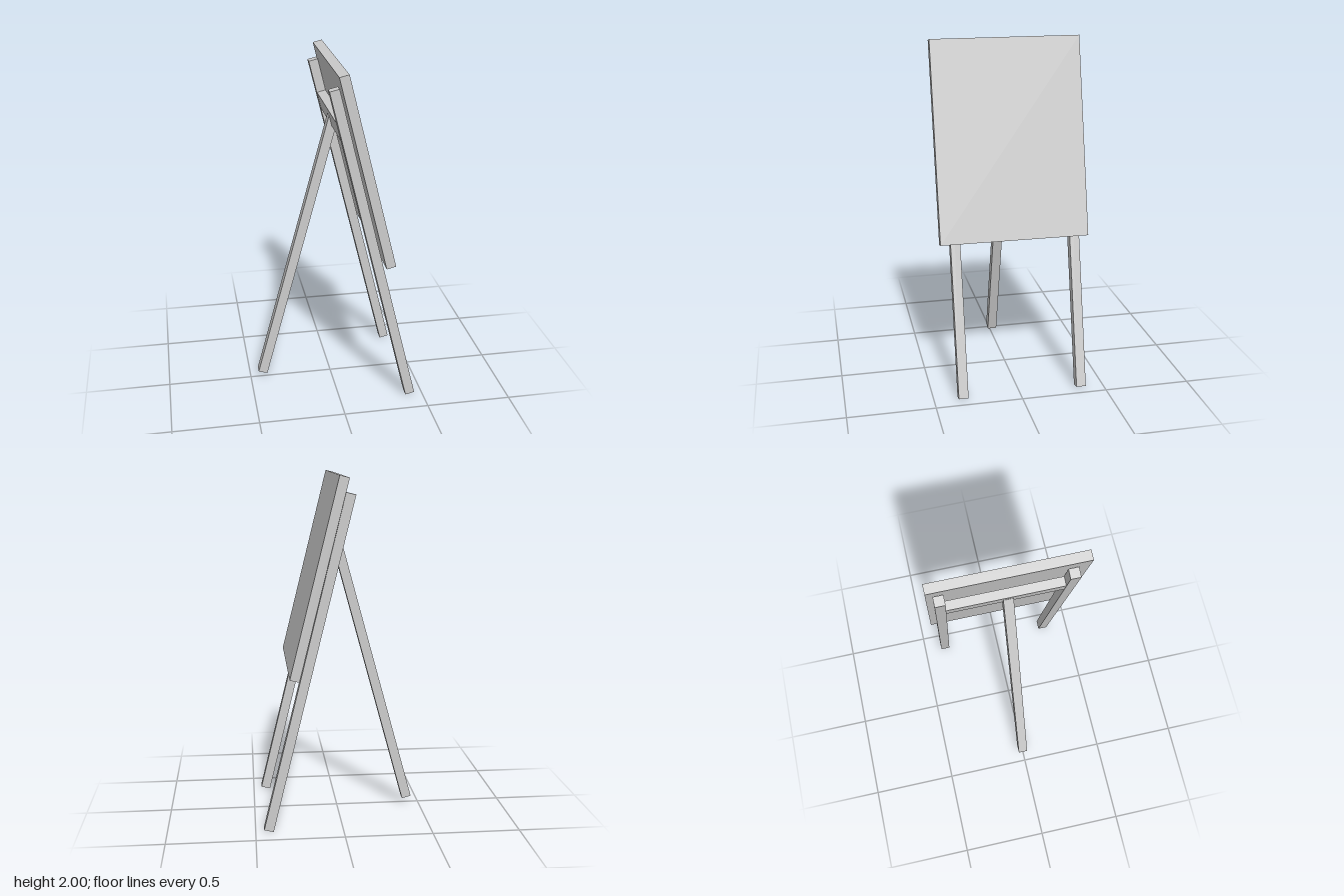
import * as THREE from 'three';

const material = new THREE.MeshStandardMaterial({ color: 0xcccccc, flatShading: true });

// Straight timber between two points of the x-y plane, centred on z.
function plank(name, [x0, y0], [x1, y1], z, thickness, width) {
  const dx = x1 - x0, dy = y1 - y0;
  const mesh = new THREE.Mesh(new THREE.BoxGeometry(thickness, Math.hypot(dx, dy), width), material);
  mesh.name = name;
  mesh.position.set((x0 + x1) / 2, (y0 + y1) / 2, z);
  mesh.rotation.z = Math.atan2(-dx, dy);
  return mesh;
}

export function createModel() {
  const group = new THREE.Group();
  group.name = 'easel';
  const T = 0.055; // timber section

  // Two leaning legs that carry the board
  const foot = [0.425, 0.0066], head = [-0.04, 1.902];
  const legZ = { frontLegLeft: 0.334, frontLegRight: -0.363 };
  for (const [name, z] of Object.entries(legZ)) {
    group.add(plank(name, foot, head, z, T, T + 0.001));
  }

  // Cross rail set between the legs, along their slope
  const along = (y) => [foot[0] + (head[0] - foot[0]) * (y - foot[1]) / (head[1] - foot[1]), y];
  group.add(plank('crossRail', along(1.612), along(1.713), -0.0145, T - 0.003, 0.643));

  // Single prop leg, its top let into the cross rail
  group.add(plank('rearLeg', [-0.426, 0.0405], [0.016, 1.66], -0.002, T, T + 0.001));

  // Display board resting against the legs
  group.add(plank('board', [0.2735, 0.888], [-0.001, 1.9934], 0, T, 0.855));

  return group;
}
